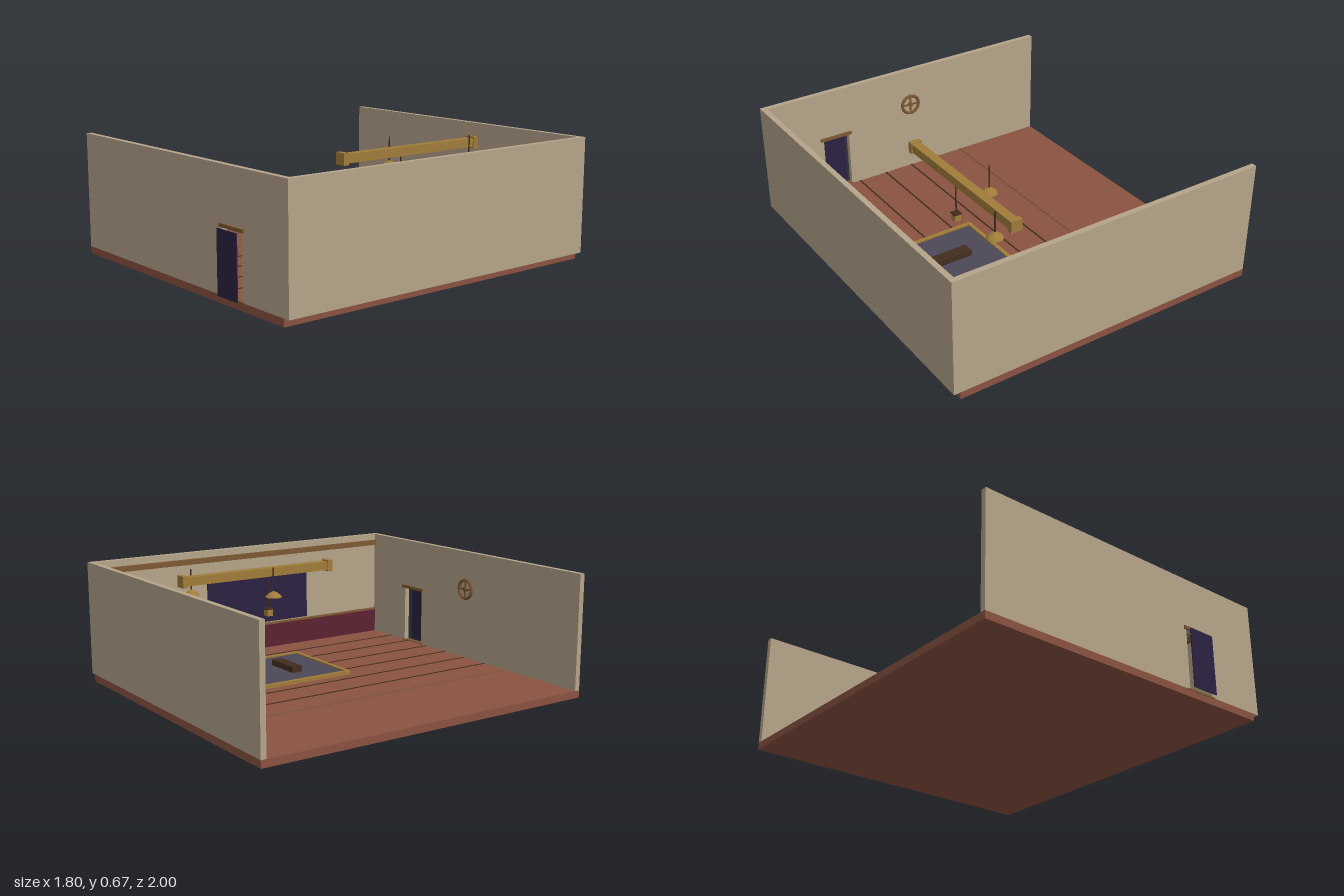
import * as THREE from 'three';

const mat = (name, color, extra = {}) => {
  const m = new THREE.MeshStandardMaterial({ color, ...extra });
  m.name = name;
  return m;
};

export function createModel() {
  const root = new THREE.Group();
  root.name = 'room';
  const M = {
    plaster: mat('plaster', 0xb5a48a),
    floor: mat('red floor', 0x8a5241),
    gold: mat('gold wood', 0xa07c3a),
    slate: mat('slate rug', 0x4d4857),
    maroon: mat('maroon panelling', 0x5c2230),
    indigo: mat('indigo cloth', 0x2c2242),
    dark: mat('dark wood', 0x432e1f),
    redwood: mat('red wood', 0x6a3828),
    oak: mat('oak trim', 0x7d5832),
    steel: mat('blue steel', 0x455062),
  };
  const add = (name, geo, m, x = 0, y = 0, z = 0, parent = root) => {
    const o = new THREE.Mesh(geo, m);
    o.name = name;
    o.position.set(x, y, z);
    parent.add(o);
    return o;
  };
  // box given by its extents on each axis
  const box = (name, m, x0, x1, y0, y1, z0, z1, parent = root) =>
    add(name, new THREE.BoxGeometry(x1 - x0, y1 - y0, z1 - z0), m,
      (x0 + x1) / 2, (y0 + y1) / 2, (z0 + z1) / 2, parent);
  const group = (name) => {
    const g = new THREE.Group();
    g.name = name;
    root.add(g);
    return g;
  };
  const cyl = (r0, r1, h, n = 12) => new THREE.CylinderGeometry(r0, r1, h, n);

  // Floor and its inlaid strips
  box('floor', M.floor, -0.9, 0.865, 0, 0.04, -1, 0.97);
  for (let i = 0; i < 7; i++) {
    const x = -0.365 + i * 0.1755;
    box('floorStrip', i ? M.dark : M.oak, x - 0.004, x + 0.004, 0.038, 0.043, -0.97, 0.94);
  }

  // Walls; the front one has a doorway
  box('backWall', M.plaster, -0.9, 0.9, 0.04, 0.667, -1, -0.97);
  box('leftWall', M.plaster, 0.87, 0.9, 0.04, 0.667, -0.97, 0.94);
  const wall = new THREE.Shape([
    [-0.9, 0.04], [0.39, 0.04], [0.39, 0.37], [0.55, 0.37],
    [0.55, 0.04], [0.9, 0.04], [0.9, 0.667], [-0.9, 0.667],
  ].map(([x, y]) => new THREE.Vector2(x, y)));
  add('frontWall', new THREE.ExtrudeGeometry(wall, { depth: 0.03, bevelEnabled: false }),
    M.plaster, 0, 0, 0.94);

  // Door hanging and lintel
  box('doorCurtain', M.indigo, 0.39, 0.55, 0.045, 0.37, 0.995, 1);
  box('doorLintel', M.oak, 0.375, 0.57, 0.37, 0.388, 0.93, 0.978);
  box('doorSill', M.oak, 0.375, 0.57, 0.036, 0.044, 0.938, 0.973);

  // Wainscot with rail, and cornice
  box('backWainscot', M.maroon, -0.36, 0.87, 0.04, 0.18, -0.97, -0.963);
  box('backRail', M.oak, -0.365, 0.87, 0.18, 0.192, -0.97, -0.959);
  box('leftWainscot', M.maroon, 0.863, 0.87, 0.04, 0.18, -0.97, 0.94);
  box('leftRail', M.oak, 0.859, 0.87, 0.18, 0.192, -0.97, 0.94);
  box('cornice', M.oak, 0.85, 0.87, 0.6, 0.63, -0.97, 0.94);

  // Wall hanging with its rod
  box('wallHanging', M.indigo, 0.858, 0.866, 0.2, 0.51, -0.28, 0.41);
  box('hangingRod', M.gold, 0.852, 0.87, 0.508, 0.526, -0.3, 0.43);

  // Wheel ornament on the inside of the front wall
  const wheel = group('wallWheel');
  wheel.position.set(-0.02, 0.45, 0.93);
  add('wheelRim', new THREE.TorusGeometry(0.054, 0.009, 8, 24), M.oak, 0, 0, 0, wheel);
  for (const a of [0, Math.PI / 2])
    add('wheelSpoke', new THREE.BoxGeometry(0.106, 0.009, 0.008), M.oak, 0, 0, 0, wheel).rotation.z = a;
  add('wheelHub', cyl(0.014, 0.014, 0.016), M.oak, 0, 0, 0, wheel).rotation.x = Math.PI / 2;

  // Framed rug with two low benches
  const rug = group('rug');
  box('rugField', M.slate, 0.07, 0.6, 0.04, 0.052, -0.63, 0.16, rug);
  for (const x of [0.06, 0.588]) box('rugBorder', M.gold, x, x + 0.022, 0.04, 0.06, -0.64, 0.17, rug);
  for (const z of [-0.64, 0.148]) box('rugBorder', M.gold, 0.082, 0.588, 0.04, 0.06, z, z + 0.022, rug);
  for (const z of [-0.4, -0.075]) box('lowBench', M.dark, 0.225, 0.44, 0.05, 0.085, z - 0.032, z + 0.032);

  // Overhead beam with end caps
  box('beam', M.gold, 0.335, 0.385, 0.585, 0.632, -0.7, 0.225);
  for (const z of [-0.7, 0.22]) box('beamCap', M.gold, 0.328, 0.392, 0.577, 0.64, z - 0.015, z + 0.015);

  // Hanging lamps with shallow round shades
  const shade = [[0.045, 0], [0.038, 0.012], [0.022, 0.024], [0.006, 0.031], [0.001, 0.036]]
    .map(([r, y]) => new THREE.Vector2(r, y));
  const shadeGeo = new THREE.LatheGeometry(shade, 12);
  const shadeMat = M.gold;
  shadeMat.side = THREE.DoubleSide;
  for (const [x, y, z] of [[0.42, 0.515, -0.62], [0.2, 0.5, -0.24]]) {
    const lamp = group('hangingLamp');
    add('lampShade', shadeGeo, shadeMat, x, y, z, lamp);
    add('lampCord', cyl(0.004, 0.004, 0.66 - y - 0.03, 6), M.dark, x, (0.66 + y + 0.03) / 2, z, lamp);
  }

  // Square lantern under the beam
  const lantern = group('lantern');
  box('lanternBody', M.gold, 0.342, 0.378, 0.362, 0.398, -0.193, -0.157, lantern);
  box('lanternCap', M.dark, 0.338, 0.382, 0.398, 0.404, -0.197, -0.153, lantern);
  add('lanternCord', cyl(0.004, 0.004, 0.186, 6), M.dark, 0.36, 0.495, -0.175, lantern);

  // Desk with an upright back panel
  const desk = group('desk');
  box('deskTop', M.redwood, 0.28, 0.61, 0.145, 0.165, -0.845, -0.705, desk);
  for (const x of [0.29, 0.575]) box('deskSide', M.redwood, x, x + 0.025, 0.04, 0.145, -0.835, -0.715, desk);
  box('deskBackPanel', M.dark, 0.305, 0.58, 0.165, 0.345, -0.85, -0.838, desk);
  box('tray', M.gold, 0.465, 0.56, 0.165, 0.175, -0.8, -0.75, desk);
  box('smallBox', M.gold, 0.312, 0.354, 0.165, 0.195, -0.755, -0.718, desk);

  // Wall shelf with end boards
  const shelf = group('wallShelf');
  for (const y of [0.22, 0.3, 0.375])
    box('shelfBoard', M.redwood, 0.782, 0.858, y, y + 0.012, -0.79, -0.39, shelf);
  for (const z of [-0.795, -0.385])
    box('shelfEnd', M.dark, 0.782, 0.858, 0.2, 0.39, z - 0.005, z + 0.005, shelf);

  // Things on and beside the shelf
  const urn = group('urn');
  box('urnBase', M.steel, 0.776, 0.846, 0.387, 0.393, -0.75, -0.68, urn);
  add('urnBody', new THREE.SphereGeometry(0.033, 10, 8), M.plaster, 0.811, 0.415, -0.715, urn);
  const jug = group('jug');
  add('jugBody', cyl(0.026, 0.032, 0.07), M.steel, 0.758, 0.355, -0.47, jug).scale.z = 1.25;
  add('jugLid', cyl(0.015, 0.026, 0.015), M.steel, 0.758, 0.397, -0.47, jug).scale.z = 1.25;
  add('ringOrnament', new THREE.TorusGeometry(0.022, 0.007, 6, 16), M.redwood, 0.785, 0.394, -0.57)
    .rotation.x = Math.PI / 2;

  return root;
}
